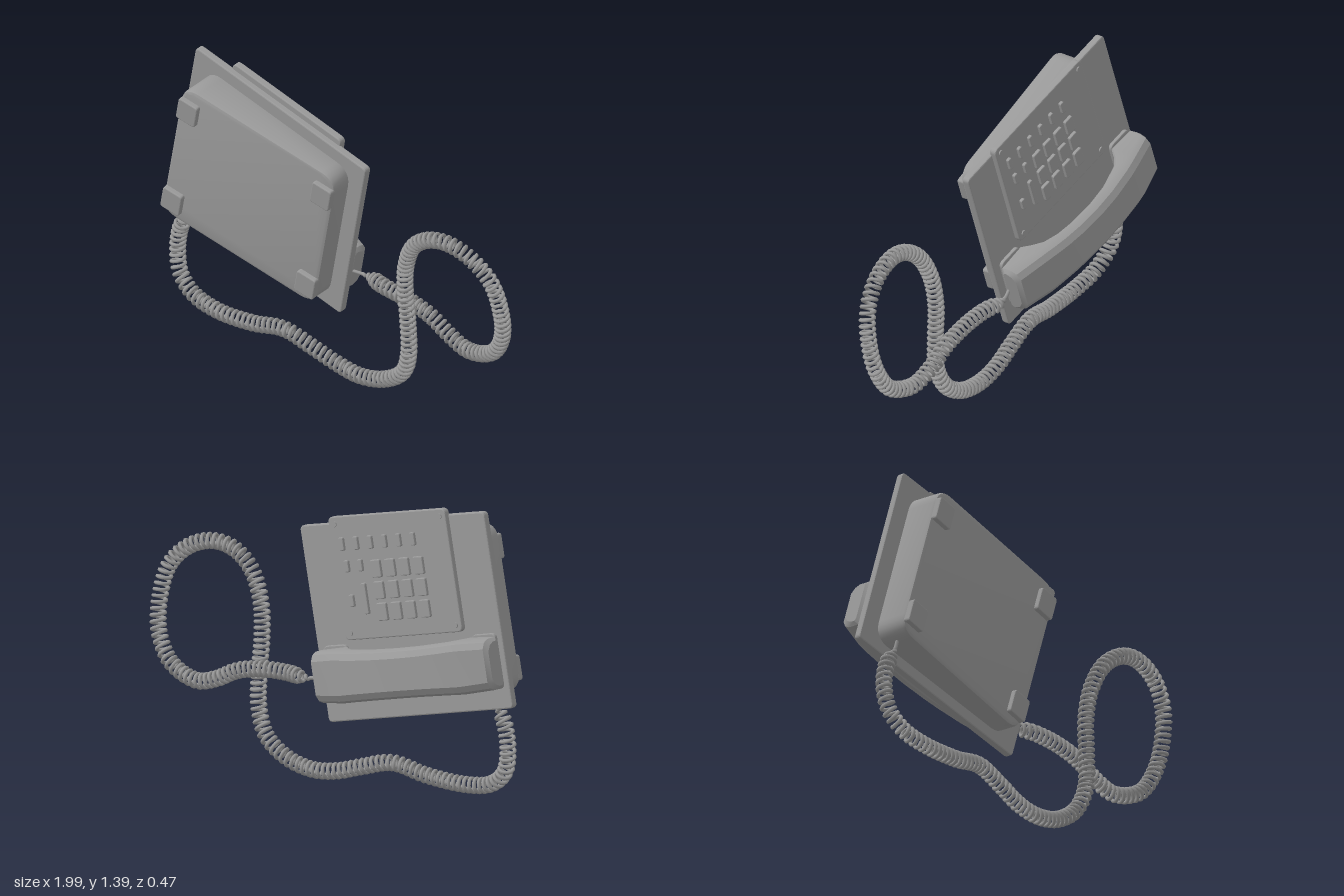
import * as THREE from 'three';
import { toCreasedNormals } from 'three/addons/utils/BufferGeometryUtils.js';

const grey = new THREE.MeshStandardMaterial({ color: 0x999999 });
grey.name = 'grey plastic';

function addMesh(parent, name, geometry, x = 0, y = 0, z = 0) {
  const mesh = new THREE.Mesh(geometry, grey);
  mesh.name = name;
  mesh.position.set(x, y, z);
  parent.add(mesh);
  return mesh;
}

// Bevelled slab with rounded corners, running from z = 0 to z = depth
function slab(w, h, r, depth, bevel) {
  const a = w / 2 - bevel, b = h / 2 - bevel, s = new THREE.Shape();
  s.moveTo(-a + r, -b);
  s.lineTo(a - r, -b).quadraticCurveTo(a, -b, a, -b + r);
  s.lineTo(a, b - r).quadraticCurveTo(a, b, a - r, b);
  s.lineTo(-a + r, b).quadraticCurveTo(-a, b, -a, b - r);
  s.lineTo(-a, -b + r).quadraticCurveTo(-a, -b, -a + r, -b);
  const g = new THREE.ExtrudeGeometry(s, {
    depth: depth - 2 * bevel, bevelThickness: bevel, bevelSize: bevel, bevelSegments: 2, curveSegments: 6,
  });
  return g.translate(0, 0, bevel);
}

// Handset lofted along x; each station is [x, underside height, back height, half width]
function handsetGeometry() {
  const stations = [
    [-0.505, 0.04, 0.115, 0.1], [-0.49, 0.022, 0.135, 0.115], [-0.36, 0.02, 0.17, 0.12],
    [-0.32, 0.065, 0.178, 0.119], [-0.28, 0.095, 0.185, 0.117], [-0.15, 0.128, 0.2, 0.113],
    [-0.03, 0.138, 0.205, 0.112], [0.1, 0.133, 0.2, 0.113], [0.19, 0.12, 0.19, 0.115],
    [0.26, 0.095, 0.178, 0.117], [0.3, 0.06, 0.17, 0.119], [0.335, 0.02, 0.163, 0.12],
    [0.475, 0.022, 0.125, 0.115], [0.49, 0.04, 0.105, 0.1],
  ];
  const pos = [], index = [];
  for (const [x, lo, hi, b] of stations) {
    const half = [[b - 0.01, lo], [b, lo + 0.01], [b, hi - 0.045], [b - 0.012, hi - 0.018], [b - 0.04, hi]];
    const ring = [...half, ...half.map(([v, h]) => [-v, h]).reverse()];
    for (const [v, h] of ring) pos.push(x, v, -h);
  }
  const n = 10, last = (stations.length - 1) * n;
  for (let i = 0; i < stations.length - 1; i++) {
    for (let j = 0; j < n; j++) {
      const a = i * n + j, b = i * n + (j + 1) % n;
      index.push(a, a + n, b, b, a + n, b + n);
    }
  }
  for (let j = 1; j < n - 1; j++) {
    index.push(0, j, j + 1, last, last + j + 1, last + j);
  }
  const g = new THREE.BufferGeometry();
  g.setAttribute('position', new THREE.Float32BufferAttribute(pos, 3));
  g.setIndex(index);
  return toCreasedNormals(g, 0.5);
}

// Helix wound around a centre line, straightening out at both ends
class CoilCurve extends THREE.Curve {
  constructor(path, turns, radius) {
    super();
    Object.assign(this, { turns, radius, steps: 1200 });
    this.points = path.getSpacedPoints(this.steps);
    this.frames = path.computeFrenetFrames(this.steps, false);
  }
  getUtoTmapping(u) { return u; }
  getPoint(t, target = new THREE.Vector3()) {
    const f = t * this.steps, i = Math.min(Math.floor(f), this.steps - 1), k = f - i;
    const { normals, binormals } = this.frames;
    const n = normals[i].clone().lerp(normals[i + 1], k);
    const b = binormals[i].clone().lerp(binormals[i + 1], k);
    const fade = THREE.MathUtils.smoothstep(t, 0.012, 0.03) * (1 - THREE.MathUtils.smoothstep(t, 0.965, 0.988));
    const angle = t * this.turns * Math.PI * 2, r = this.radius * fade;
    return target.copy(this.points[i]).lerp(this.points[i + 1], k)
      .addScaledVector(n, Math.cos(angle) * r).addScaledVector(b, Math.sin(angle) * r);
  }
}

export function createModel() {
  const model = new THREE.Group();
  model.name = 'deskTelephone';

  // Telephone body: underside faces +z, keys and handset face -z
  const body = new THREE.Group();
  body.name = 'telephoneBody';
  body.rotation.set(0.08, 0, -0.239, 'ZXY');
  body.position.set(-0.397, 0.85, -0.013);
  model.add(body);
  addMesh(body, 'topPlate', slab(1.025, 0.885, 0.015, 0.036, 0.006), 0, 0, -0.018);

  // Wedge base, thicker towards -x
  const slope = 0.083, baseDepth = 0.15;
  const base = slab(0.86, 0.765, 0.07, baseDepth, 0.015);
  const p = base.attributes.position;
  for (let i = 0; i < p.count; i++) {
    p.setZ(i, p.getZ(i) - slope * p.getX(i) * p.getZ(i) / baseDepth);
  }
  addMesh(body, 'wedgeBase', toCreasedNormals(base, 0.6), 0.002, -0.007, 0);

  // Rubber feet
  for (const u of [-0.372, 0.378]) {
    for (const v of [-0.287, 0.26]) {
      const foot = addMesh(body, 'foot', slab(0.105, 0.115, 0.008, 0.036, 0.005), u, v, baseDepth - slope * u - 0.012);
      foot.rotation.y = Math.atan(slope);
    }
  }

  // Raised key panel with corner screws
  addMesh(body, 'keyPanel', slab(0.65, 0.555, 0.02, 0.034, 0.005), 0.008, 0.196, -0.043);
  for (const u of [-0.285, 0.3]) {
    for (const v of [-0.05, 0.44]) {
      const screw = addMesh(body, 'panelScrew', new THREE.CylinderGeometry(0.013, 0.013, 0.012, 12), u, v, -0.043);
      screw.rotation.x = Math.PI / 2;
    }
  }

  // Keys: function row, number pad and side keys
  const key = (name, u, v, w, h) => addMesh(body, name, slab(w, h, 0.004, 0.024, 0.004), u, v, -0.058);
  for (let i = 0; i < 6; i++) key('functionKey', 0.27 - i * 0.079, 0.35, 0.024, 0.06);
  for (let row = 0; row < 3; row++) {
    for (let col = 0; col < 4; col++) key('numberKey', 0.1 - col * 0.079, 0.23 - row * 0.097, 0.052, 0.08);
  }
  for (const u of [0.26, 0.185]) key('sideKey', u, 0.25, 0.024, 0.055);
  key('sideKey', 0.26, 0.095, 0.024, 0.055);
  key('barKey', 0.185, 0.1, 0.024, 0.14);

  // Cradle pads and handset
  for (const u of [-0.42, 0.405]) {
    addMesh(body, 'cradlePad', slab(0.13, 0.25, 0.02, 0.022, 0.004), u, -0.225, -0.034);
  }
  addMesh(body, 'handset', handsetGeometry(), 0, -0.23, -0.008);

  // Coiled cord from the base, around the loop and into the handset
  const path = new THREE.CatmullRomCurve3([
    [-0.835, 0.57, 0.05], [-0.85, 0.5, 0.04], [-0.89, 0.42, 0.03], [-0.905, 0.31, 0.03], [-0.88, 0.2, 0.04],
    [-0.8, 0.13, 0.05], [-0.65, 0.1, 0.055], [-0.45, 0.11, 0.045], [-0.28, 0.14, 0.03], [-0.13, 0.1, 0.015],
    [0, 0.06, 0], [0.13, 0.045, -0.005], [0.27, 0.08, -0.01], [0.38, 0.16, -0.005], [0.43, 0.28, 0.01],
    [0.43, 0.45, 0.015], [0.42, 0.6, 0.02], [0.435, 0.75, 0.035], [0.5, 0.89, 0.055], [0.6, 0.965, 0.065],
    [0.71, 0.985, 0.06], [0.83, 0.945, 0.045], [0.92, 0.85, 0.02], [0.952, 0.7, -0.01], [0.935, 0.55, -0.04],
    [0.86, 0.43, -0.06], [0.71, 0.372, -0.075], [0.6, 0.4, -0.08], [0.48, 0.46, -0.08], [0.35, 0.49, -0.08],
    [0.2, 0.5, -0.085], [0.1, 0.5, -0.105], [0.01, 0.51, -0.08],
  ].map((a) => new THREE.Vector3(...a)));
  const coil = new CoilCurve(path, 152, 0.031);
  addMesh(model, 'coiledCord', new THREE.TubeGeometry(coil, 152 * 16, 0.0085, 6));

  return model;
}
